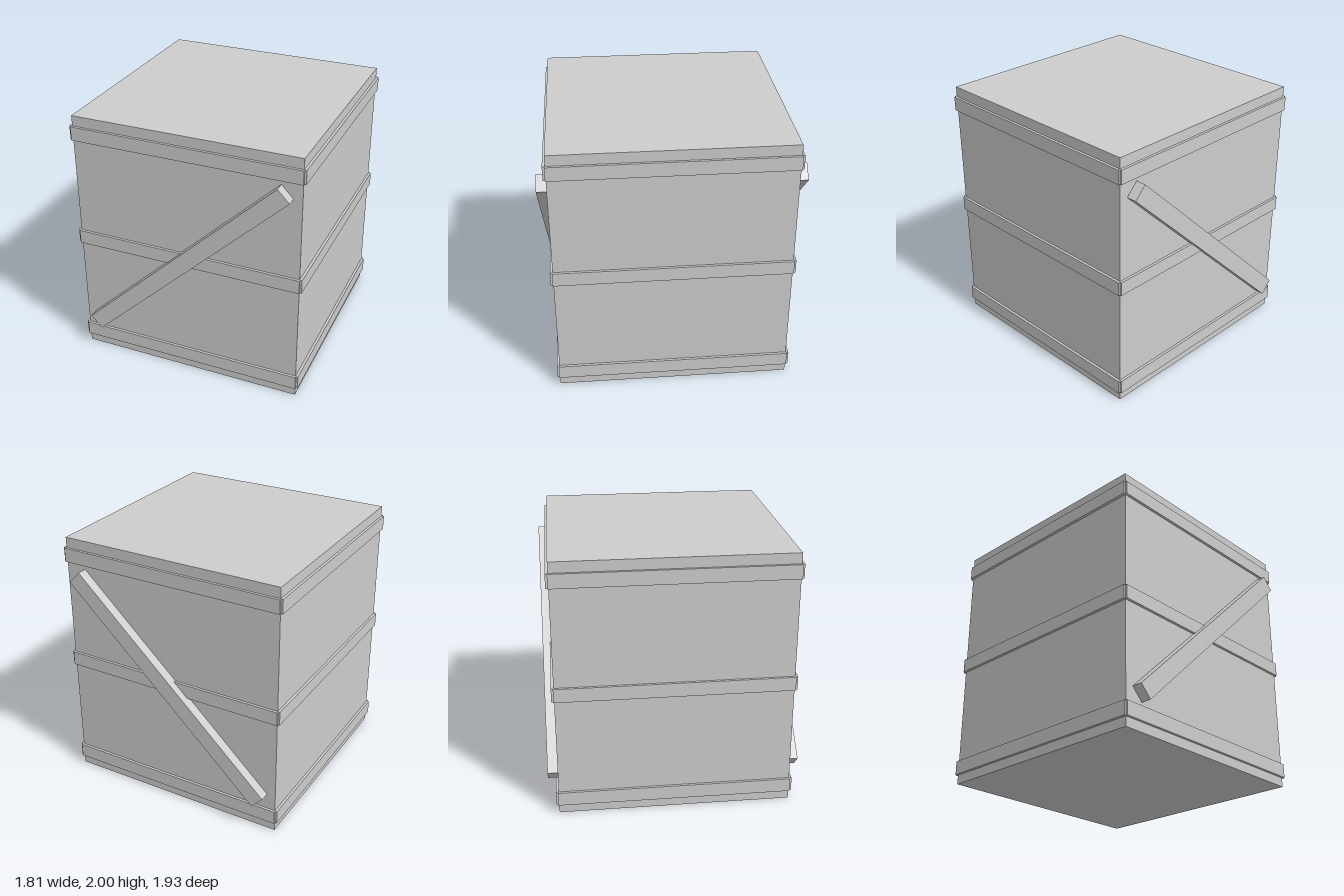
import * as THREE from 'three';

const HALF = 0.885; // half width of the crate body

export function createModel() {
  const crate = new THREE.Group();
  crate.name = 'crate';
  const wood = new THREE.MeshStandardMaterial({ color: 0xcccccc });
  wood.name = 'pale grey';

  const addBox = (name, size, position) => {
    const mesh = new THREE.Mesh(new THREE.BoxGeometry(...size), wood);
    mesh.name = name;
    mesh.position.set(...position);
    crate.add(mesh);
    return mesh;
  };

  // Solid body
  addBox('body', [HALF * 2, 2, HALF * 2], [0, 1, 0]);

  // Three levels of slats, one on each side, with open corners
  const thickness = 0.04;
  const offset = 0.905 - thickness / 2;
  for (const y of [0.127, 0.995, 1.865]) {
    for (const side of [-1, 1]) {
      addBox('endSlat', [1.78, 0.108, thickness], [0, y, side * offset]);
      addBox('sideSlat', [thickness, 0.108, 1.78], [side * offset, y, 0]);
    }
  }

  // Diagonal braces on the front and back, both rising towards +x
  for (const side of [-1, 1]) {
    const brace = addBox('diagonalBrace', [2.133, 0.13, 0.08], [0, 0.995, side * 0.923]);
    brace.rotation.z = Math.atan2(1.47, 1.545);
  }

  return crate;
}
